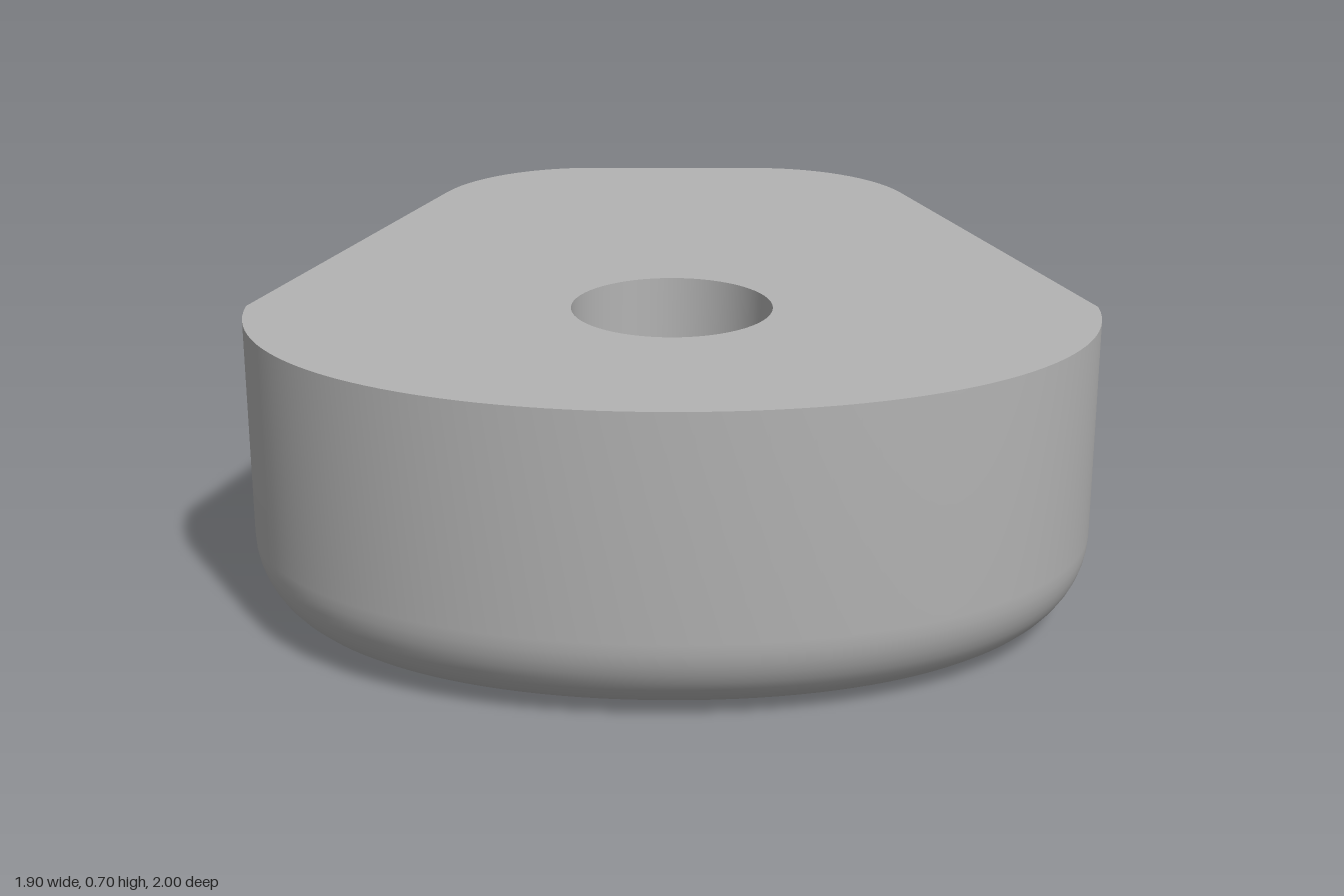
import * as THREE from 'three';
import { toCreasedNormals } from 'three/addons/utils/BufferGeometryUtils.js';

const HEIGHT = 0.7, FILLET = 0.2, HOLE_Z = 0.3, HOLE_R = 0.225;
const HEX_R = 0.475, HEX_DEPTH = 0.3, CHAMFER = 0.03;

// Plan outline as Vector2(x, z): flat back, rounded back corners, tapered sides, bowed front
function makeOutline() {
  const half = [];
  const tangent = THREE.MathUtils.degToRad(18.85);
  for (let i = 0; i <= 14; i++) {
    const a = THREE.MathUtils.lerp(Math.PI / 2, tangent, i / 14);
    half.push(new THREE.Vector2(0.22 + 0.4 * Math.cos(a), -0.6 - 0.4 * Math.sin(a)));
  }
  const front = new THREE.CubicBezierCurve(
    new THREE.Vector2(0.95, 0.3), new THREE.Vector2(0.95, 0.7),
    new THREE.Vector2(0.55, 1), new THREE.Vector2(0, 1));
  half.push(...front.getPoints(32));
  const mirrored = half.slice(0, -1).reverse().map(p => new THREE.Vector2(-p.x, p.y));
  return [...half, ...mirrored];
}

// Moves an outline inward by a distance, with mitred corners
function inset(points, distance) {
  const n = points.length;
  const normal = (a, b) => new THREE.Vector2(b.y - a.y, a.x - b.x).normalize();
  return points.map((p, i) => {
    const n1 = normal(points[(i + n - 1) % n], p);
    const n2 = normal(p, points[(i + 1) % n]);
    const mitre = n1.clone().add(n2).divideScalar(1 + n1.dot(n2));
    return p.clone().addScaledVector(mitre, -distance);
  });
}

// Regular ring around the hole axis, with a corner on the x axis
function ring(radius, sides) {
  return Array.from({ length: sides }, (_, i) => {
    const a = i / sides * Math.PI * 2;
    return new THREE.Vector2(radius * Math.cos(a), HOLE_Z + radius * Math.sin(a));
  });
}

// Skin through closed loops; rising loops face outward, falling loops face inward
function loft(loops) {
  const n = loops[0].points.length, positions = [], index = [];
  for (const { points, y } of loops) for (const p of points) positions.push(p.x, y, p.y);
  for (let k = 0; k < loops.length - 1; k++) {
    for (let i = 0; i < n; i++) {
      const a = k * n + i, b = k * n + (i + 1) % n, c = a + n, d = b + n;
      index.push(a, c, b, b, c, d);
    }
  }
  const geometry = new THREE.BufferGeometry();
  geometry.setAttribute('position', new THREE.Float32BufferAttribute(positions, 3));
  geometry.setIndex(index);
  return toCreasedNormals(geometry, 0.2);
}

// Flat horizontal face with a hole, facing up or down
function plate(outer, inner, y, up) {
  const flip = points => points.map(p => new THREE.Vector2(p.x, up ? -p.y : p.y));
  const shape = new THREE.Shape(flip(outer));
  shape.holes.push(new THREE.Path(flip(inner)));
  const geometry = new THREE.ShapeGeometry(shape);
  geometry.rotateX(up ? -Math.PI / 2 : Math.PI / 2);
  return geometry.translate(0, y, 0);
}

export function createModel() {
  const group = new THREE.Group();
  group.name = 'knob';
  const grey = new THREE.MeshStandardMaterial({ color: 0xb3b3b3 });
  grey.name = 'grey';
  const add = (name, geometry) => {
    const mesh = new THREE.Mesh(geometry, grey);
    mesh.name = name;
    group.add(mesh);
  };

  const outline = makeOutline();
  const hole = ring(HOLE_R, 64);
  const hex = ring(HEX_R, 6);
  const hexTop = ring(HEX_R - CHAMFER, 6);
  const ceiling = HEX_DEPTH + CHAMFER;

  // Side wall with the rounded lower edge
  const loops = [];
  for (let i = 0; i <= 12; i++) {
    const a = i / 12 * Math.PI / 2;
    loops.push({ points: inset(outline, FILLET * (1 - Math.sin(a))), y: FILLET * (1 - Math.cos(a)) });
  }
  loops.push({ points: outline, y: HEIGHT });
  add('sideWall', loft(loops));

  // Flat faces
  add('topFace', plate(outline, hole, HEIGHT, true));
  add('bottomFace', plate(loops[0].points, hex, 0, false));

  // Round bore and chamfered hexagonal pocket
  add('bore', loft([{ points: hole, y: HEIGHT }, { points: hole, y: ceiling }]));
  add('hexPocket', loft([
    { points: hexTop, y: ceiling }, { points: hex, y: HEX_DEPTH }, { points: hex, y: 0 }]));
  add('pocketCeiling', plate(hexTop, hole, ceiling, false));
  return group;
}
